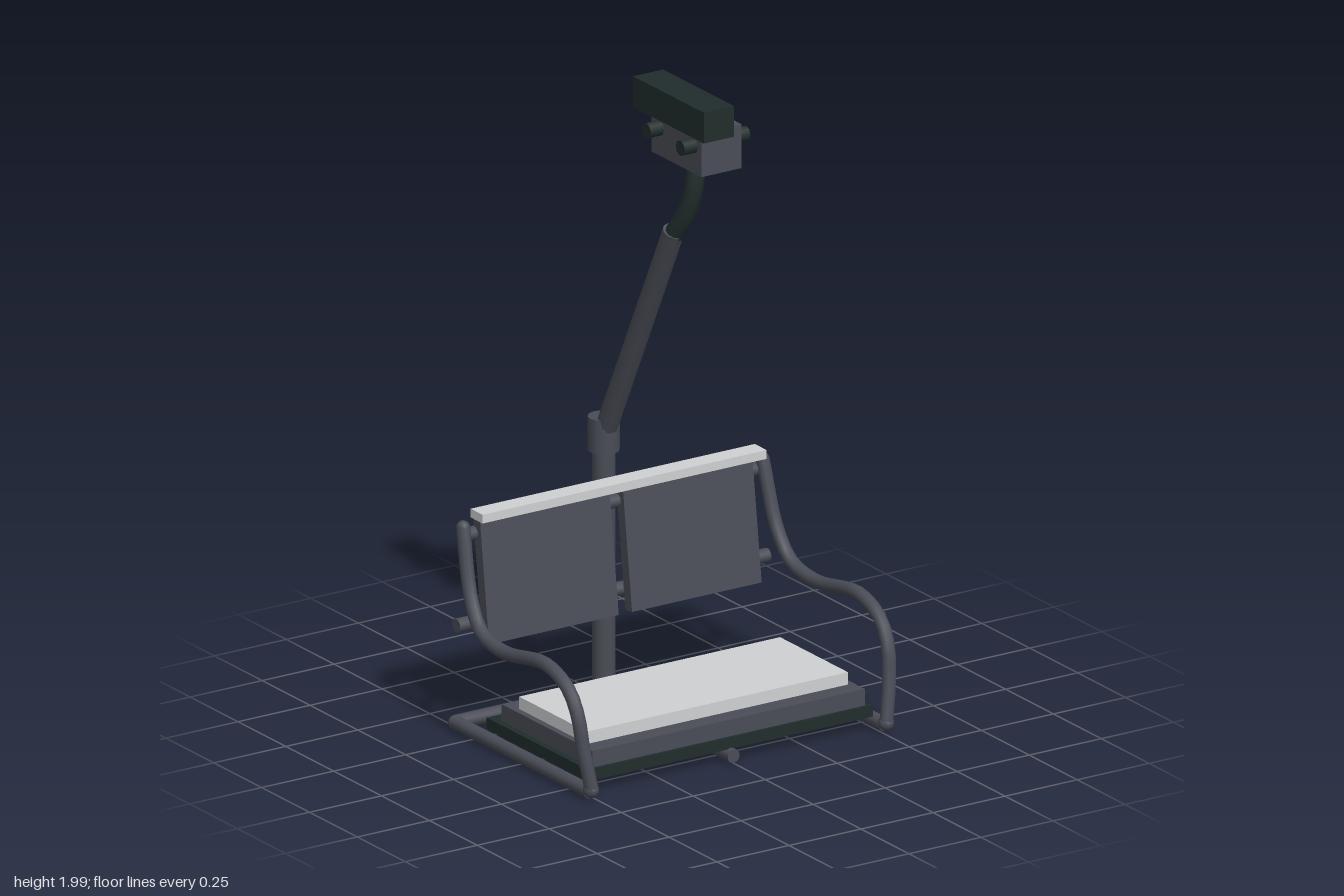
import * as THREE from 'three';

const mat = (name, color) => {
  const m = new THREE.MeshStandardMaterial({ color });
  m.name = name;
  return m;
};

export function createModel() {
  const model = new THREE.Group();
  model.name = 'chairlift';
  const steel = mat('steelGrey', 0x4a4d57);
  const dark = mat('darkGreen', 0x202d2c);
  const pale = mat('paleGrey', 0xd0d1d3);
  const V = (x, y, z) => new THREE.Vector3(x, y, z);

  const add = (name, geometry, material) => {
    const mesh = new THREE.Mesh(geometry, material);
    mesh.name = name;
    model.add(mesh);
    return mesh;
  };
  // Box given by its extents along each axis
  const box = (name, m, [x0, x1], [y0, y1], [z0, z1]) => {
    const b = add(name, new THREE.BoxGeometry(x1 - x0, y1 - y0, z1 - z0), m);
    b.position.set((x0 + x1) / 2, (y0 + y1) / 2, (z0 + z1) / 2);
    return b;
  };
  // Straight round bar between two points
  const bar = (name, m, a, b, r, sides = 12) => {
    const d = b.clone().sub(a);
    const c = add(name, new THREE.CylinderGeometry(r, r, d.length(), sides), m);
    c.position.copy(a).add(b).multiplyScalar(0.5);
    c.quaternion.setFromUnitVectors(V(0, 1, 0), d.normalize());
    return c;
  };
  // Bent pipe through points, in few segments
  const pipe = (name, m, points, r, segments) =>
    add(name, new THREE.TubeGeometry(new THREE.CatmullRomCurve3(points), segments, r, 10), m);
  const joint = (name, m, p, r) =>
    add(name, new THREE.SphereGeometry(r, 10, 8), m).position.copy(p);

  // Cable grip
  box('cableClamp', dark, [-0.052, 0.052], [1.905, 2], [-0.112, 0.257]);
  box('gripBlock', steel, [-0.025, 0.114], [1.78, 1.915], [-0.058, 0.204]);
  for (const z of [-0.016, 0.161])
    bar('gripBolt', dark, V(-0.07, 1.865, z), V(0.158, 1.865, z), 0.024, 8);

  // Hanger: bent neck, sloping arm, collar and post
  pipe('hangerNeck', dark,
    [V(0.042, 1.8, 0.077), V(0.03, 1.7, 0.08), V(0.018, 1.62, 0.06), V(0, 1.535, 0.015)], 0.03, 8);
  bar('hangerArm', steel, V(0, 1.555, 0.022), V(0, 0.82, -0.342), 0.033);
  bar('hangerCollar', steel, V(0, 0.77, -0.345), V(0, 0.874, -0.345), 0.047);
  bar('hangerPost', steel, V(0, 0.02, -0.345), V(0, 0.8, -0.345), 0.034);

  // Base frame
  bar('rearBar', steel, V(-0.512, 0.033, -0.348), V(0.512, 0.033, -0.348), 0.022);
  bar('centreBar', steel, V(0, 0.033, -0.345), V(0, 0.033, 0.335), 0.021);

  // Seat layers
  box('seatBase', dark, [-0.494, 0.494], [0.05, 0.085], [-0.212, 0.318]);
  box('seatPad', steel, [-0.473, 0.473], [0.085, 0.136], [-0.166, 0.308]);
  box('seatCushion', pale, [-0.453, 0.453], [0.136, 0.174], [-0.105, 0.25]);

  // Backrest rails and top trim
  bar('upperBackRail', steel, V(-0.52, 0.62, -0.31), V(0.52, 0.62, -0.31), 0.021);
  bar('lowerBackRail', steel, V(-0.54, 0.35, -0.302), V(0.54, 0.35, -0.302), 0.021);
  box('backrestTrim', pale, [-0.493, 0.493], [0.675, 0.702], [-0.297, -0.235]);

  for (const s of [-1, 1]) {
    // Backrest panel, leaning backwards
    const panel = add('backrestPanel', new THREE.BoxGeometry(0.45, 0.38, 0.035), steel);
    panel.position.set(s * 0.248, 0.486, -0.273);
    panel.rotation.x = -0.13;

    // Side bar and bowed armrest
    bar('sideBar', steel, V(s * 0.512, 0.033, -0.348), V(s * 0.512, 0.033, 0.355), 0.021);
    const arm = [
      [0.512, 0.045, 0.362], [0.53, 0.16, 0.348], [0.538, 0.265, 0.33], [0.541, 0.335, 0.283],
      [0.542, 0.375, 0.175], [0.542, 0.345, -0.06], [0.538, 0.37, -0.175],
      [0.531, 0.455, -0.24], [0.52, 0.65, -0.296],
    ].map(([x, y, z]) => V(s * x, y, z));
    pipe('armrest', steel, arm, 0.021, 28);
    joint('armrestFrontJoint', steel, V(s * 0.512, 0.04, 0.36), 0.024);
    joint('armrestRearJoint', steel, arm[arm.length - 1], 0.021);
    joint('frameCorner', steel, V(s * 0.512, 0.033, -0.348), 0.022);
  }
  return model;
}
